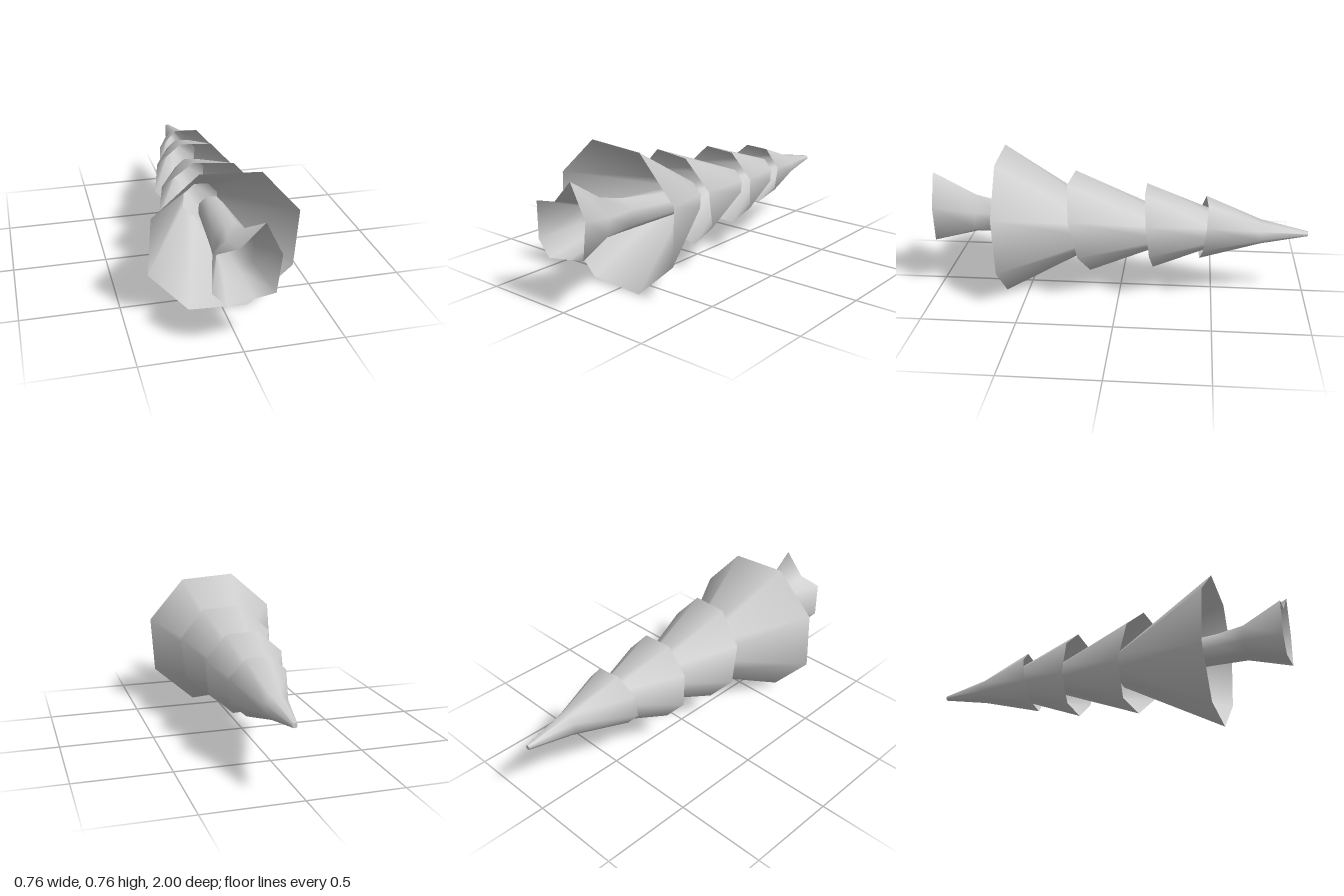
import * as THREE from 'three';

const SIDES = 8;
const TURN = THREE.MathUtils.degToRad(19);

// Octagonal ring around the z axis; tiltX and tiltY slope it along z
function ring(x, y, z, r, tiltX = 0, tiltY = 0) {
  return Array.from({ length: SIDES }, (_, i) => {
    const a = TURN + (i / SIDES) * Math.PI * 2;
    const dx = Math.cos(a) * r, dy = Math.sin(a) * r;
    return [x + dx, y + dy, z + dx * tiltX + dy * tiltY];
  });
}

const flatRing = (z, points) => points.map(([x, y]) => [x, y, z]);

// Open smooth shell through a series of rings, running towards -z
function loft(name, rings) {
  const index = [];
  for (let i = 0; i < rings.length - 1; i++) {
    for (let j = 0; j < SIDES; j++) {
      const a = i * SIDES + j, b = i * SIDES + (j + 1) % SIDES;
      index.push(a, a + SIDES, b, b, a + SIDES, b + SIDES);
    }
  }
  const geometry = new THREE.BufferGeometry();
  geometry.setAttribute('position', new THREE.Float32BufferAttribute(rings.flat(2), 3));
  geometry.setIndex(index);
  geometry.computeVertexNormals();
  const mesh = new THREE.Mesh(geometry, new THREE.MeshStandardMaterial({ color: 0xcccccc, side: THREE.DoubleSide }));
  mesh.name = name;
  return mesh;
}

export function createModel() {
  const tree = new THREE.Group();
  tree.name = 'lyingFirTree';

  // Hollow trunk with a flared, uneven root end
  tree.add(loft('trunk', [
    flatRing(0.995, [[0.17, 0.49], [0.085, 0.662], [-0.03, 0.545], [-0.155, 0.527],
      [-0.155, 0.335], [-0.085, 0.257], [0.05, 0.28], [0.147, 0.297]]).map(([x, y, z], i) => [x, y, i === 1 ? 1 : z]),
    flatRing(0.785, [[0.105, 0.44], [0.05, 0.53], [-0.03, 0.48], [-0.075, 0.46],
      [-0.09, 0.37], [-0.05, 0.315], [0.03, 0.31], [0.1, 0.35]]),
    flatRing(0.63, [[0.105, 0.44], [0.05, 0.49], [0, 0.475], [-0.06, 0.44],
      [-0.07, 0.37], [-0.04, 0.32], [0.03, 0.31], [0.1, 0.36]]),
    ring(0.03, 0.38, 0.25, 0.07),
  ]));

  // Overlapping branch tiers, from the widest to the tip
  tree.add(loft('bottomTier', [
    ring(0, 0.38, 0.634, 0.4, -0.015, 0.033),
    ring(0.01, 0.36, 0.1, 0.1),
  ]));
  tree.add(loft('lowerMiddleTier', [
    ring(0.025, 0.388, 0.205, 0.27, 0.11, 0.22),
    ring(0.03, 0.365, -0.25, 0.09),
  ]));
  tree.add(loft('upperMiddleTier', [
    ring(0.03, 0.375, -0.16, 0.226, 0.02, 0.11),
    ring(0.04, 0.373, -0.52, 0.092),
  ]));
  tree.add(loft('topTier', [
    ring(0.052, 0.383, -0.445, 0.167, -0.08, -0.12),
    ring(0.06, 0.372, -0.75, 0.065),
    ring(0.06, 0.367, -1, 0.013),
  ]));

  // Small cap closing the tip
  const cap = new THREE.Mesh(
    new THREE.CircleGeometry(0.013, SIDES, TURN),
    new THREE.MeshStandardMaterial({ color: 0xcccccc, side: THREE.DoubleSide }),
  );
  cap.name = 'tipCap';
  cap.position.set(0.06, 0.367, -1);
  tree.add(cap);

  return tree;
}
